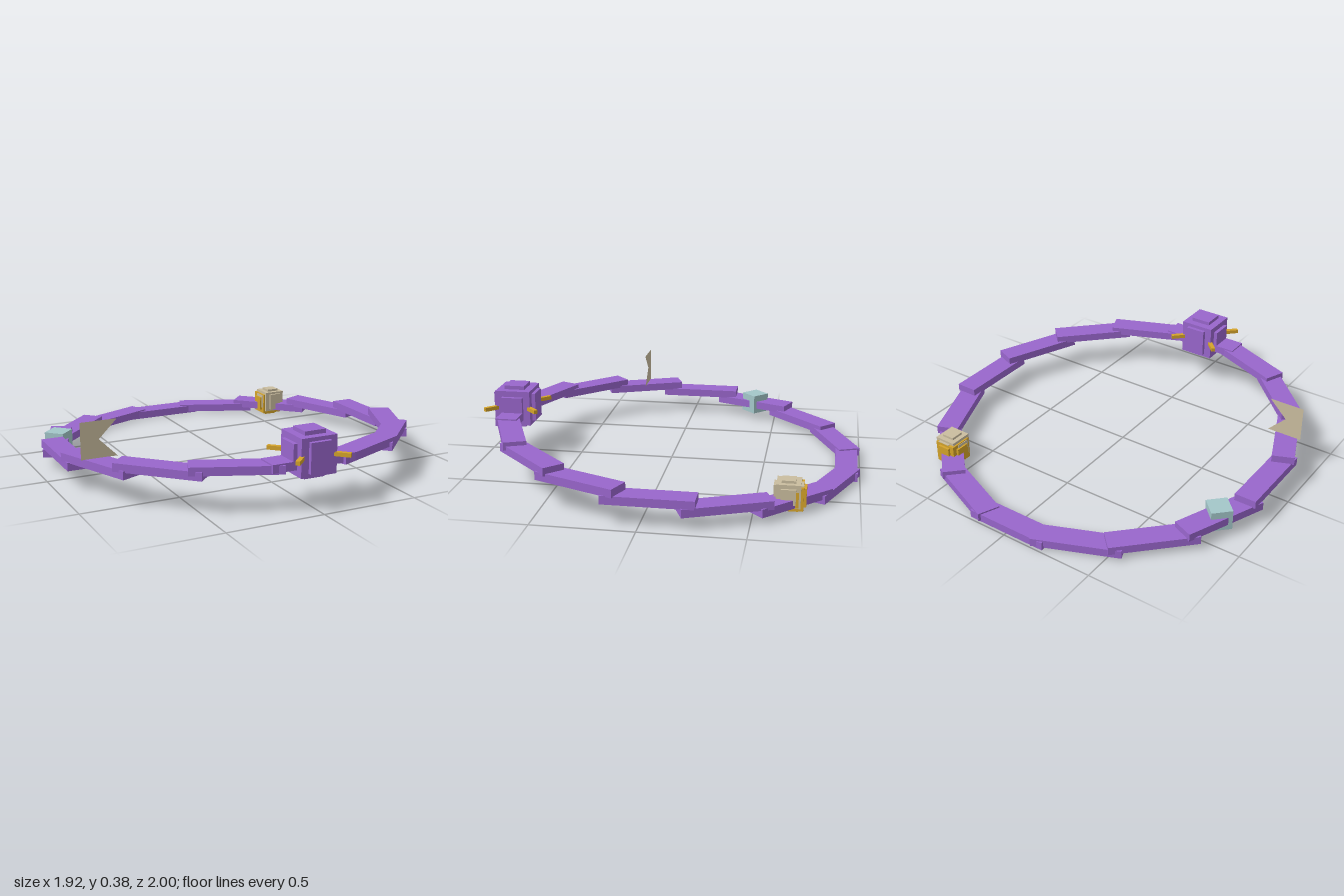
import * as THREE from 'three';

export function createModel() {
  const model = new THREE.Group();
  const mat = (name, color, side = THREE.FrontSide) => {
    const m = new THREE.MeshStandardMaterial({ color, side });
    m.name = name;
    return m;
  };
  const purple = mat('amethyst purple', 0x9966cc);
  const gold = mat('gold', 0xd4a32a);
  const beige = mat('pale sand', 0xcabd9f, THREE.DoubleSide);
  const teal = mat('pale teal', 0xa3c6c9);

  const box = (parent, name, material, size, pos, turn = 0) => {
    const mesh = new THREE.Mesh(new THREE.BoxGeometry(...size), material);
    mesh.name = name;
    mesh.position.set(...pos);
    mesh.rotation.y = turn;
    parent.add(mesh);
    return mesh;
  };

  // Ring of overlapping level slats, stepping down from front to back
  const ring = new THREE.Group();
  ring.name = 'ring';
  model.add(ring);
  const radius = 0.89, centreZ = -0.04, count = 16;
  for (let i = 0; i < count; i++) {
    const a = (i / count) * Math.PI * 2;
    box(ring, 'ringSegment', purple, [0.44, 0.042, 0.115],
      [radius * Math.sin(a), 0.127 + 0.098 * Math.cos(a), centreZ + radius * Math.cos(a)], a);
  }

  // Stepped cube: a core with a raised panel on each face
  const steppedCube = (name, material, s, pos) => {
    const g = new THREE.Group();
    g.name = name;
    g.position.set(...pos);
    g.scale.setScalar(s);
    box(g, 'core', material, [0.188, 0.188, 0.188], [0, 0, 0]);
    box(g, 'sidePanels', material, [0.228, 0.125, 0.115], [0, 0, 0]);
    box(g, 'topAndBottomPanels', material, [0.11, 0.228, 0.11], [0, 0, 0]);
    box(g, 'frontAndBackPanels', material, [0.11, 0.15, 0.228], [0, 0, 0]);
    model.add(g);
  };

  // Large front gem and its four diagonal prongs
  steppedCube('frontGem', purple, 1, [0, 0.267, 0.85]);
  for (const sx of [-1, 1]) {
    for (const sz of [-1, 1]) {
      box(model, 'prong', gold, [0.13, 0.02, 0.022],
        [sx * 0.095, 0.267, 0.85 + sz * 0.095], -sx * sz * Math.PI / 4);
    }
  }

  // Small back charm: a pale cube set over a gold one
  steppedCube('charmBacking', gold, 0.62, [0.615, 0.076, -0.675]);
  steppedCube('charm', beige, 0.62, [0.624, 0.091, -0.662]);

  // Teal bead threaded on the ring
  box(model, 'bead', teal, [0.107, 0.107, 0.107], [-0.818, 0.094, -0.38], Math.PI / 4);

  // Flat swallowtail pennant
  const shape = new THREE.Shape([
    [-0.91, 0.185], [-0.725, 0.185], [-0.818, 0.278], [-0.725, 0.37], [-0.91, 0.37],
  ].map(([x, y]) => new THREE.Vector2(x, y)));
  const pennant = new THREE.Mesh(new THREE.ShapeGeometry(shape), beige);
  pennant.name = 'pennant';
  pennant.position.z = 0.28;
  model.add(pennant);

  return model;
}
